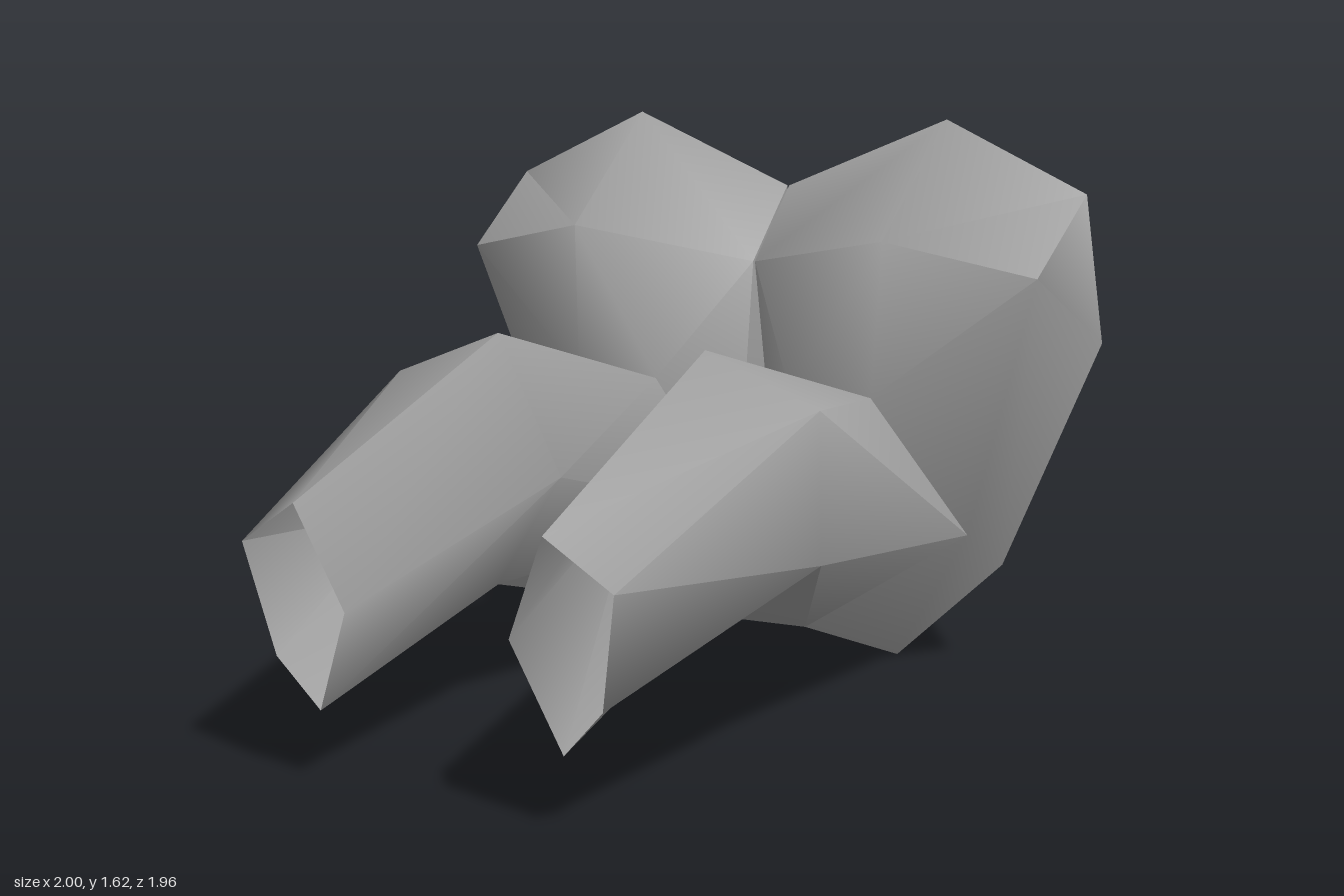
import * as THREE from 'three';
import { toCreasedNormals } from 'three/addons/utils/BufferGeometryUtils.js';

const grey = new THREE.MeshStandardMaterial({ color: 0xa0a0a0, side: THREE.DoubleSide });
grey.name = 'grey';

// Outline of the flat back, clockwise from the front
const back = [[0.003, 1.41], [0.51, 1.62], [0.94, 1.42], [1, 1], [0.72, 0.32], [0.39, 0], [0.05, 0.32], [0.003, 0.65]]
  .map(([x, y]) => [x, y, -0.98]);

// Front corners of the rounded body
const inner = [0.003, 1.2, -0.76];
const crown = [0.5, 1.3, -0.56];
const outer = [0.92, 1.21, -0.66];

// Five-sided limb sections: root, bend and open end
const root = [[0.22, 0.86, -0.56], [0.48, 0.86, -0.55], [0.68, 0.44, -0.8], [0.35, 0.21, -0.42], [0.07, 0.43, -0.8]];
const bend = [[0.32, 1.07, 0.13], [0.65, 0.94, 0.13], [0.66, 0.54, 0.13], [0.32, 0.37, 0.14], [0.12, 0.69, 0.13]];
const end = [[0.36, 0.75, 0.98], [0.54, 0.63, 0.96], [0.48, 0.33, 0.91], [0.36, 0.2, 0.89], [0.24, 0.48, 0.94]];

// Mesh from polygons, each split as a fan; side = -1 mirrors it
function polyMesh(name, polygons, side) {
  const pos = [];
  for (const poly of polygons) {
    for (let i = 1; i < poly.length - 1; i++) {
      const tri = [poly[0], poly[i], poly[i + 1]];
      if (side < 0) tri.reverse();
      for (const [x, y, z] of tri) pos.push(x * side, y, z);
    }
  }
  const g = new THREE.BufferGeometry();
  g.setAttribute('position', new THREE.Float32BufferAttribute(pos, 3));
  const mesh = new THREE.Mesh(toCreasedNormals(g, 1.05), grey);
  mesh.name = name;
  return mesh;
}

// Side faces between a rear and a front section
function loft(rear, front) {
  return rear.map((p, k) => {
    const n = (k + 1) % rear.length;
    return [front[k], front[n], rear[n], p];
  });
}

export function createModel() {
  const group = new THREE.Group();
  group.name = 'model';
  const [E, D, F, M, G] = root;
  const p = back;

  const body = [
    // rim from the front corners to the back outline
    [inner, crown, p[1], p[0]],
    [crown, outer, p[2], p[1]],
    [outer, p[3], p[2]],
    [outer, F, p[4], p[3]],
    [F, M, p[5], p[4]],
    [M, G, p[6], p[5]],
    [G, inner, p[7], p[6]],
    [inner, p[0], p[7]],
    // front around the limb root
    [crown, inner, E, D],
    [crown, D, outer],
    [outer, D, F],
    [inner, G, E],
    // flat back
    [3, 4, 5, 6, 7, 0, 1, 2].map((i) => p[i]),
  ];
  const limb = [...loft(root, bend), ...loft(bend, end)];

  for (const [label, side] of [['left', 1], ['right', -1]]) {
    group.add(polyMesh(label + 'Body', body, side));
    group.add(polyMesh(label + 'Limb', limb, side));
  }
  return group;
}
